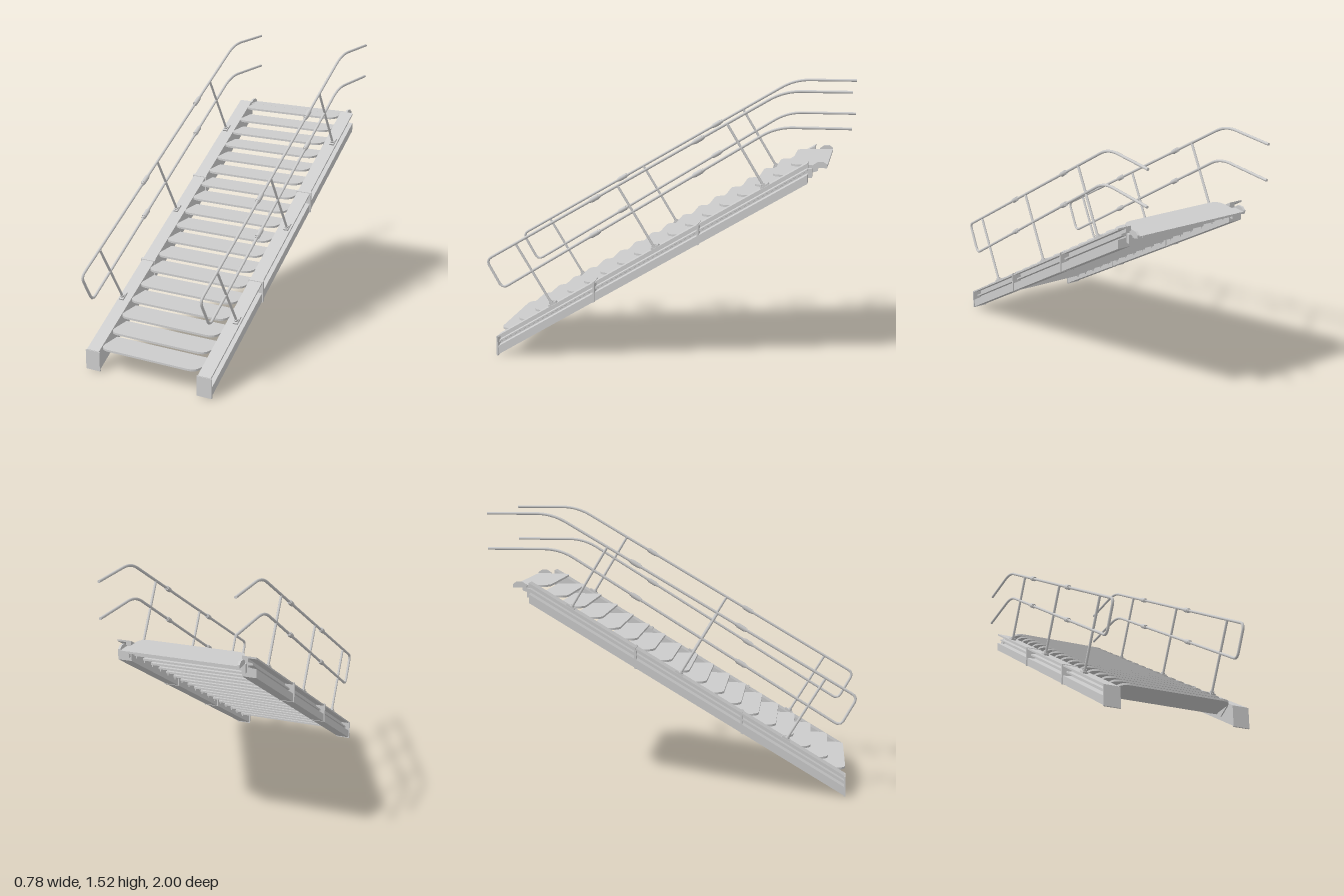
import * as THREE from 'three';

const SLOPE = 0.598, Z0 = 0.95, Z1 = -0.775, H = 0.11, STEPS = 18;
const ANGLE = Math.atan(SLOPE);
const mat = new THREE.MeshStandardMaterial({ color: 0xcccccc, side: THREE.DoubleSide });
const V = (x, y, z) => new THREE.Vector3(x, y, z);
const rise = (z) => SLOPE * (Z0 - z);

function add(parent, name, geo, x = 0, y = 0, z = 0, rx = 0) {
  const m = new THREE.Mesh(geo, mat);
  m.name = name;
  m.position.set(x, y, z);
  m.rotation.x = rx;
  parent.add(m);
  return m;
}

// Box centred on a point, optionally pitched with the stair
const box = (p, name, w, h, d, x, y, z, rx = 0) => add(p, name, new THREE.BoxGeometry(w, h, d), x, y, z, rx);

// Profile in x/y swept from z0 back to z1, sheared to follow the stair slope
function slopedBeam(points, z0, z1) {
  const shape = new THREE.Shape(points.map(([x, y]) => new THREE.Vector2(x, y)));
  const g = new THREE.ExtrudeGeometry(shape, { depth: z0 - z1, bevelEnabled: false });
  g.translate(0, 0, z1);
  const p = g.attributes.position;
  for (let i = 0; i < p.count; i++) p.setY(i, p.getY(i) + rise(p.getZ(i)));
  g.computeVertexNormals();
  return g;
}

function rod(parent, name, a, b, r, sides = 10) {
  const m = add(parent, name, new THREE.CylinderGeometry(r, r, a.distanceTo(b), sides));
  m.position.copy(a).add(b).multiplyScalar(0.5);
  m.quaternion.setFromUnitVectors(V(0, 1, 0), b.clone().sub(a).normalize());
  return m;
}

// Flat board with rounded front corners; front edge at local z = 0
function treadGeometry(depth, t) {
  const w = 0.3, r = 0.06, s = new THREE.Shape();
  s.moveTo(-w, depth);
  s.lineTo(-w, r);
  s.quadraticCurveTo(-w, 0, -w + r, 0);
  s.lineTo(w - r, 0);
  s.quadraticCurveTo(w, 0, w, r);
  s.lineTo(w, depth);
  const g = new THREE.ExtrudeGeometry(s, { depth: t, bevelEnabled: false, curveSegments: 8 });
  return g.rotateX(-Math.PI / 2);
}

function buildTreads() {
  const g = new THREE.Group();
  g.name = 'treads';
  const geo = treadGeometry(0.17, 0.011);
  const gusset = new THREE.Shape([[0, 0], [-0.1, 0], [-0.1, -0.02], [-0.07, -0.03]].map(([a, b]) => new THREE.Vector2(a, b)));
  const gussetGeo = new THREE.ExtrudeGeometry(gusset, { depth: 0.006, bevelEnabled: false }).rotateY(-Math.PI / 2);
  for (let i = 0; i < STEPS; i++) {
    const y = 0.126 + i * 0.0579, z = Z0 - i * 0.0957;
    add(g, 'tread', i === STEPS - 1 ? treadGeometry(0.198, 0.011) : geo, 0, y, z);
    // side brackets holding the tread to the stringers
    for (const s of [-1, 1]) add(g, 'treadBracket', gussetGeo, s * 0.299 + 0.003, y, z - 0.05);
  }
  // landing lip behind the top tread
  box(g, 'landingLip', 0.66, 0.011, 0.075, 0, 1.116, -0.837);
  return g;
}

function buildSide(s) {
  const g = new THREE.Group();
  g.name = s > 0 ? 'leftSide' : 'rightSide';

  // grooved stringer
  const profile = [[0.305, 0], [0.382, 0], [0.382, 0.048], [0.335, 0.052], [0.335, 0.062], [0.362, 0.066],
    [0.362, 0.076], [0.335, 0.08], [0.335, 0.1], [0.382, 0.1], [0.382, H], [0.305, H]];
  add(g, 'stringer', slopedBeam(profile.map(([x, y]) => [s * x, y]), Z0 - 0.004, Z1));
  box(g, 'stringerFoot', 0.088, 0.11, 0.008, s * 0.344, 0.055, Z0 - 0.004);
  for (const z of [0.385, -0.195]) {
    const plate = [[0.3, -0.003], [0.389, -0.003], [0.389, H + 0.004], [0.3, H + 0.004]];
    add(g, 'jointPlate', slopedBeam(plate.map(([x, y]) => [s * x, y]), z + 0.005, z - 0.005));
  }

  // hanging hook and cheek plate at the landing
  box(g, 'hangingHook', 0.02, 0.05, 0.03, s * 0.32, 1.08, -0.782);
  const cheek = new THREE.Shape([[0.8, 1.11], [0.875, 1.11], [0.875, 1.128], [0.855, 1.142], [0.825, 1.142], [0.8, 1.125]]
    .map(([a, b]) => new THREE.Vector2(a, b)));
  const cheekGeo = new THREE.ExtrudeGeometry(cheek, { depth: 0.012, bevelEnabled: false }).rotateY(Math.PI / 2);
  add(g, 'landingCheek', cheekGeo, s * 0.324 - 0.006);

  // handrail loop: straight runs with rounded bends
  const x = s * 0.358;
  const corners = [[-1, 1.515], [-0.645, 1.515], [1.005, 0.545], [0.915, 0.385], [-0.605, 1.325], [-1, 1.325]]
    .map(([z, y]) => V(x, y, z));
  const radius = [0, 0.09, 0.035, 0.035, 0.09, 0];
  const path = new THREE.CurvePath();
  let last = corners[0];
  for (let i = 1; i < corners.length; i++) {
    const c = corners[i];
    if (i === corners.length - 1) { path.add(new THREE.LineCurve3(last, c)); break; }
    const toward = (q) => c.clone().add(q.clone().sub(c).setLength(radius[i]));
    const a = toward(corners[i - 1]), b = toward(corners[i + 1]);
    path.add(new THREE.LineCurve3(last, a));
    path.add(new THREE.QuadraticBezierCurve3(a, c, b));
    last = b;
  }
  add(g, 'handrail', new THREE.TubeGeometry(path, 260, 0.0075, 10, false));
  for (const [z, y] of [[-0.998, 1.515], [-0.998, 1.325]]) rod(g, 'railEnd', V(x, y, z), V(x, y, z - 0.002), 0.0075);

  // posts square to the slope, with base clamps
  for (const [z, y] of [[0.83, 0.64], [0.248, 0.985], [-0.345, 1.34]]) {
    const foot = V(x, y - 0.34, z - 0.205);
    rod(g, 'railPost', V(x, y, z), foot, 0.007);
    rod(g, 'postSocket', foot, foot.clone().add(V(0, 0.02, 0.012)), 0.012);
    box(g, 'postBase', 0.028, 0.012, 0.05, x, rise(foot.z) + H + 0.004, foot.z, ANGLE);
  }

  // sleeves where rail lengths join
  const dir = V(0, Math.sin(ANGLE), -Math.cos(ANGLE));
  for (const [a, b] of [[1, 2], [4, 3]]) {
    for (const z of [0.378, -0.193]) {
      const t = (z - corners[a].z) / (corners[b].z - corners[a].z);
      const c = corners[a].clone().lerp(corners[b], t);
      const at = (k) => c.clone().addScaledVector(dir, k);
      rod(g, 'railSleeve', at(-0.024), at(0.024), 0.0135);
      rod(g, 'railCollar', at(-0.034), at(0.034), 0.0105);
    }
  }
  return g;
}

export function createModel() {
  const model = new THREE.Group();
  model.name = 'staircase';
  model.add(buildTreads(), buildSide(1), buildSide(-1));
  return model;
}
